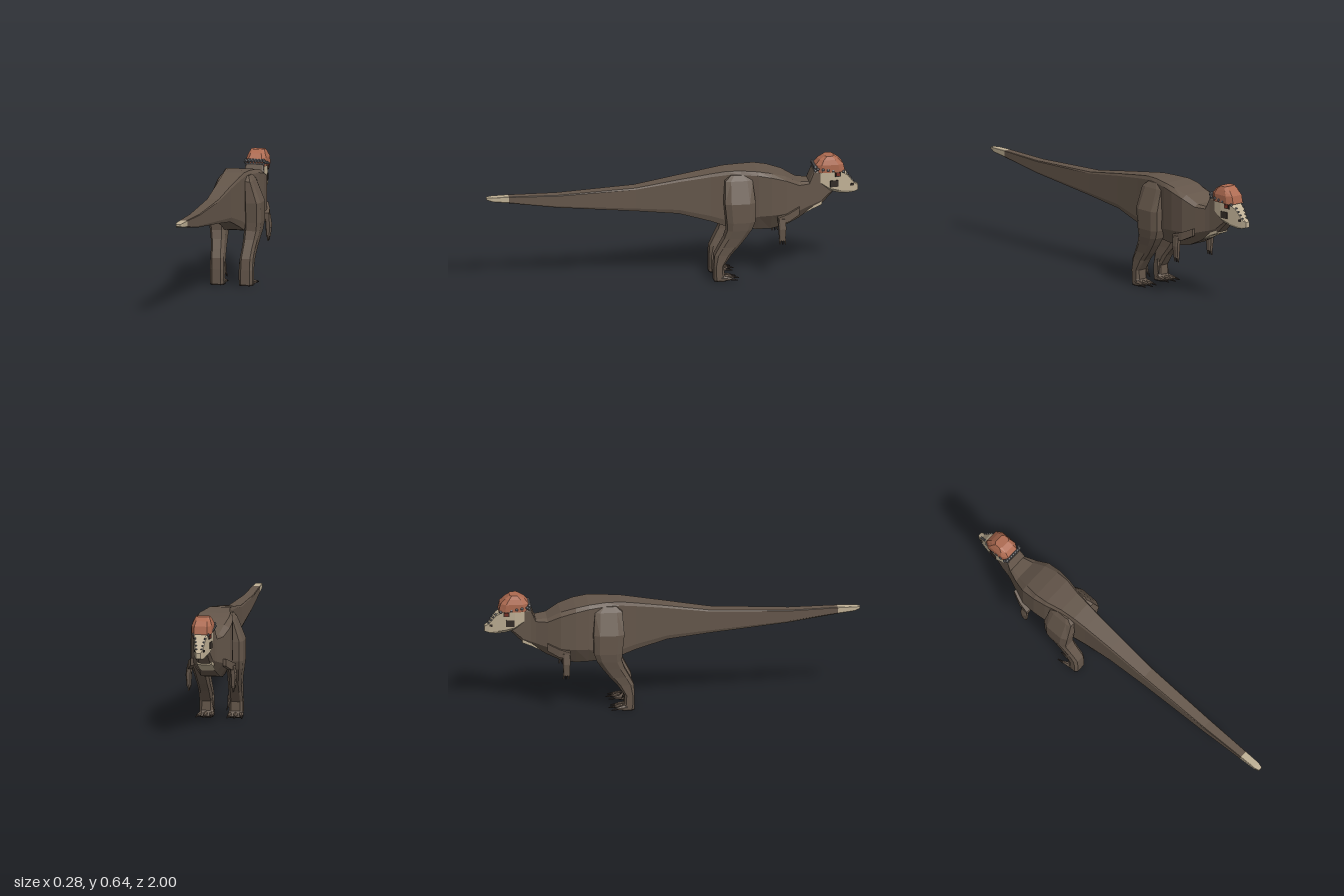
import * as THREE from 'three';

const mat = (name, color) => {
  const m = new THREE.MeshStandardMaterial({ color });
  m.name = name;
  return m;
};

// Skin a closed, capped, flat-faced solid over a list of equal-length rings.
function loft(rings) {
  const pos = [];
  const n = rings[0].length;
  const tri = (a, b, c) => pos.push(...a, ...b, ...c);
  for (let i = 0; i < rings.length - 1; i++) {
    for (let j = 0; j < n; j++) {
      const k = (j + 1) % n, a = rings[i], b = rings[i + 1];
      tri(a[j], a[k], b[k]);
      tri(a[j], b[k], b[j]);
    }
  }
  const first = rings[0], last = rings[rings.length - 1];
  for (let j = 1; j < n - 1; j++) {
    tri(first[0], first[j + 1], first[j]);
    tri(last[0], last[j], last[j + 1]);
  }
  // Signed volume tells whether the faces point outwards
  const a = new THREE.Vector3(), b = new THREE.Vector3(), c = new THREE.Vector3();
  let volume = 0;
  for (let i = 0; i < pos.length; i += 9) {
    a.fromArray(pos, i); b.fromArray(pos, i + 3); c.fromArray(pos, i + 6);
    volume += a.dot(b.cross(c));
  }
  if (volume < 0) {
    for (let i = 0; i < pos.length; i += 9) {
      for (let k = 0; k < 3; k++) [pos[i + 3 + k], pos[i + 6 + k]] = [pos[i + 6 + k], pos[i + 3 + k]];
    }
  }
  const g = new THREE.BufferGeometry();
  g.setAttribute('position', new THREE.Float32BufferAttribute(pos, 3));
  g.computeVertexNormals();
  return g;
}

// Upright chamfered section: z, bottom, top, half width, top and bottom width ratios
function ringZ([z, y0, y1, w, top = 0.88, bottom = 0.85, low = 0.12]) {
  const h = y1 - y0, yu = y1 - h * 0.06, yl = y0 + h * low;
  return [[w * top, y1], [w, yu], [w, yl], [w * bottom, y0],
    [-w * bottom, y0], [-w, yl], [-w, yu], [-w * top, y1]].map(([x, y]) => [x, y, z]);
}

// Level chamfered section: y, x range, z range
function ringY([y, x0, x1, z0, z1]) {
  const cx = (x1 - x0) * 0.18, cz = (z1 - z0) * 0.2;
  return [[x0 + cx, z0], [x1 - cx, z0], [x1, z0 + cz], [x1, z1 - cz],
    [x1 - cx, z1], [x0 + cx, z1], [x0, z1 - cz], [x0, z0 + cz]].map(([x, z]) => [x, y, z]);
}

export function createModel() {
  const root = new THREE.Group();
  root.name = 'domeHeadedDinosaur';
  const hide = mat('brownHide', 0x64564a);
  const cream = mat('creamSkin', 0xbfb095);
  const dome = mat('rustDome', 0xad6a50);
  const horn = mat('greyHorn', 0x66676a);
  const dark = mat('darkClaw', 0x342c27);
  const red = mat('redEye', 0x7a3226);

  const add = (name, geometry, material, parent = root) => {
    const m = new THREE.Mesh(geometry, material);
    m.name = name;
    parent.add(m);
    return m;
  };

  // Tail, trunk and neck in one skin
  add('body', loft([
    [0.88, 0.475, 0.511, 0.022], [0.62, 0.437, 0.506, 0.028], [0.2, 0.395, 0.524, 0.036],
    [-0.03, 0.37, 0.56, 0.046], [-0.2, 0.32, 0.585, 0.056], [-0.28, 0.29, 0.596, 0.063],
    [-0.36, 0.275, 0.597, 0.075, 0.85, 0.75, 0.15], [-0.45, 0.264, 0.593, 0.097, 0.85, 0.55, 0.25],
    [-0.52, 0.262, 0.58, 0.106, 0.8, 0.5, 0.28], [-0.6, 0.278, 0.555, 0.104, 0.7, 0.5, 0.28],
    [-0.67, 0.31, 0.515, 0.08, 0.7, 0.55, 0.25], [-0.73, 0.345, 0.51, 0.057, 0.75, 0.6, 0.2],
    [-0.755, 0.36, 0.57, 0.05, 0.85, 0.7], [-0.8, 0.38, 0.565, 0.044, 0.85, 0.7],
    [-0.86, 0.44, 0.55, 0.036, 0.85, 0.7],
  ].map(ringZ)), hide);
  add('tailTip', loft([[0.88, 0.475, 0.511, 0.022], [0.97, 0.486, 0.511, 0.019],
    [1.0, 0.497, 0.508, 0.011]].map(ringZ)), cream);
  add('throat', loft([[-0.7, 0.325, 0.36, 0.04, 1, 0.7], [-0.75, 0.352, 0.385, 0.043, 1, 0.7],
    [-0.8, 0.372, 0.4, 0.038, 1, 0.7]].map(ringZ)), cream);

  // Head
  const head = new THREE.Group();
  head.name = 'head';
  root.add(head);
  add('face', loft([
    [-0.79, 0.49, 0.57, 0.046], [-0.84, 0.45, 0.578, 0.048, 0.9, 0.7], [-0.89, 0.435, 0.568, 0.042, 0.85, 0.7],
    [-0.94, 0.428, 0.535, 0.03, 0.75, 0.75], [-0.975, 0.43, 0.485, 0.021, 0.75, 0.8],
    [-1.0, 0.438, 0.468, 0.012],
  ].map(ringZ)), cream, head);
  add('dome', loft([
    [0.555, -0.054, 0.054, -0.925, -0.765], [0.597, -0.054, 0.054, -0.916, -0.767],
    [0.622, -0.045, 0.045, -0.892, -0.788], [0.641, -0.036, 0.036, -0.866, -0.818],
  ].map(ringY)), dome, head);

  // Knobs around the back and sides of the dome, and smaller ones on the snout
  const knob = (x, y, z, r) => {
    const m = add('knob', new THREE.DodecahedronGeometry(r), horn, head);
    m.position.set(x, y, z);
  };
  for (let i = -3; i <= 3; i++) {
    knob(i * 0.016, 0.588, -0.763, 0.011);
    knob(i * 0.015, 0.568, -0.764, 0.009);
  }
  for (const s of [-1, 1]) {
    for (let i = 0; i < 6; i++) knob(s * (0.055 - i * i * 0.0006), 0.578 - i * 0.005, -0.775 - i * 0.028, 0.009);
    for (let i = 0; i < 4; i++) knob(s * (0.026 - i * 0.004), 0.536 - i * 0.017, -0.94 - i * 0.012, 0.006);
    // Eye, cheek patch and nostril plates
    const plate = (name, material, x, y, z, h, d, yaw) => {
      const m = add(name, new THREE.BoxGeometry(0.007, h, d), material, head);
      m.position.set(s * x, y, z);
      m.rotation.y = s * yaw;
    };
    plate('eyeSurround', dark, 0.043, 0.54, -0.885, 0.026, 0.032, 0.16);
    plate('eye', red, 0.0455, 0.541, -0.885, 0.017, 0.02, 0.16);
    plate('cheekPatch', dark, 0.045, 0.49, -0.865, 0.036, 0.045, 0.12);
    plate('nostril', dark, 0.0235, 0.474, -0.965, 0.012, 0.016, 0.26);
  }

  const claw = (name, parent, material, p, q, r) => {
    const a = new THREE.Vector3(...p), b = new THREE.Vector3(...q), d = b.clone().sub(a);
    const m = add(name, new THREE.CylinderGeometry(r * 0.35, r, d.length(), 6).toNonIndexed(), material, parent);
    m.geometry.computeVertexNormals();
    m.position.copy(a).add(b).multiplyScalar(0.5);
    m.quaternion.setFromUnitVectors(new THREE.Vector3(0, 1, 0), d.normalize());
  };

  // Mirrored limbs
  for (const s of [1, -1]) {
    const side = s > 0 ? 'left' : 'right';
    const flip = (rows) => loft(rows.map((r) => ringY(r).map(([x, y, z]) => [s * x, y, z])));
    const leg = new THREE.Group();
    leg.name = side + 'Leg';
    root.add(leg);
    add('thighAndShin', flip([
      [0.578, 0.058, 0.078, -0.385, -0.305], [0.55, 0.055, 0.096, -0.418, -0.272],
      [0.435, 0.052, 0.142, -0.428, -0.264], [0.33, 0.05, 0.142, -0.426, -0.275],
      [0.285, 0.05, 0.136, -0.41, -0.277], [0.24, 0.05, 0.127, -0.38, -0.262],
      [0.19, 0.048, 0.119, -0.342, -0.235], [0.145, 0.044, 0.116, -0.302, -0.212],
      [0.085, 0.041, 0.116, -0.262, -0.208], [0.035, 0.041, 0.116, -0.264, -0.208],
      [0.008, 0.041, 0.116, -0.285, -0.208],
    ]), hide, leg);
    add('sole', flip([[0.008, 0.041, 0.116, -0.285, -0.208], [0, 0.043, 0.114, -0.28, -0.21]]), dark, leg);
    // Three spread toes with claws, and a small inner claw
    [[0.052, 0.046, -0.306], [0.08, 0.082, -0.318], [0.104, 0.118, -0.306]].forEach(([x0, x1, z]) => {
      claw('toe', leg, hide, [s * x0, 0.017, -0.25], [s * x1, 0.014, z], 0.017);
      claw('toeClaw', leg, dark, [s * x1, 0.014, z + 0.008], [s * (x1 * 1.35 - x0 * 0.35), 0.008, z - 0.027], 0.008);
    });
    claw('innerToe', leg, hide, [s * 0.047, 0.12, -0.25], [s * 0.038, 0.055, -0.262], 0.012);
    claw('innerClaw', leg, dark, [s * 0.038, 0.058, -0.262], [s * 0.033, 0.04, -0.272], 0.006);

    const arm = new THREE.Group();
    arm.name = side + 'Arm';
    root.add(arm);
    // Upper arm slopes back along the ribs, forearm hangs down
    add('upperArm', loft([[-0.67, 0.345, 0.385, 0.078, 0.095], [-0.61, 0.315, 0.36, 0.095, 0.118],
      [-0.55, 0.31, 0.342, 0.1, 0.128]].map(([z, y0, y1, x0, x1]) => [
      [s * x0, y0, z], [s * x1, y0, z], [s * x1, y1, z], [s * x0, y1, z]])), hide, arm);
    add('forearm', flip([[0.335, 0.1, 0.128, -0.592, -0.55], [0.28, 0.106, 0.136, -0.592, -0.553],
      [0.215, 0.108, 0.13, -0.588, -0.556]]), hide, arm);
    for (let i = -1; i <= 1; i++) {
      claw('finger', arm, i ? hide : dark, [s * 0.119, 0.225, -0.572 + i * 0.011],
        [s * 0.119, 0.192, -0.575 + i * 0.015], 0.008);
    }
  }
  return root;
}
